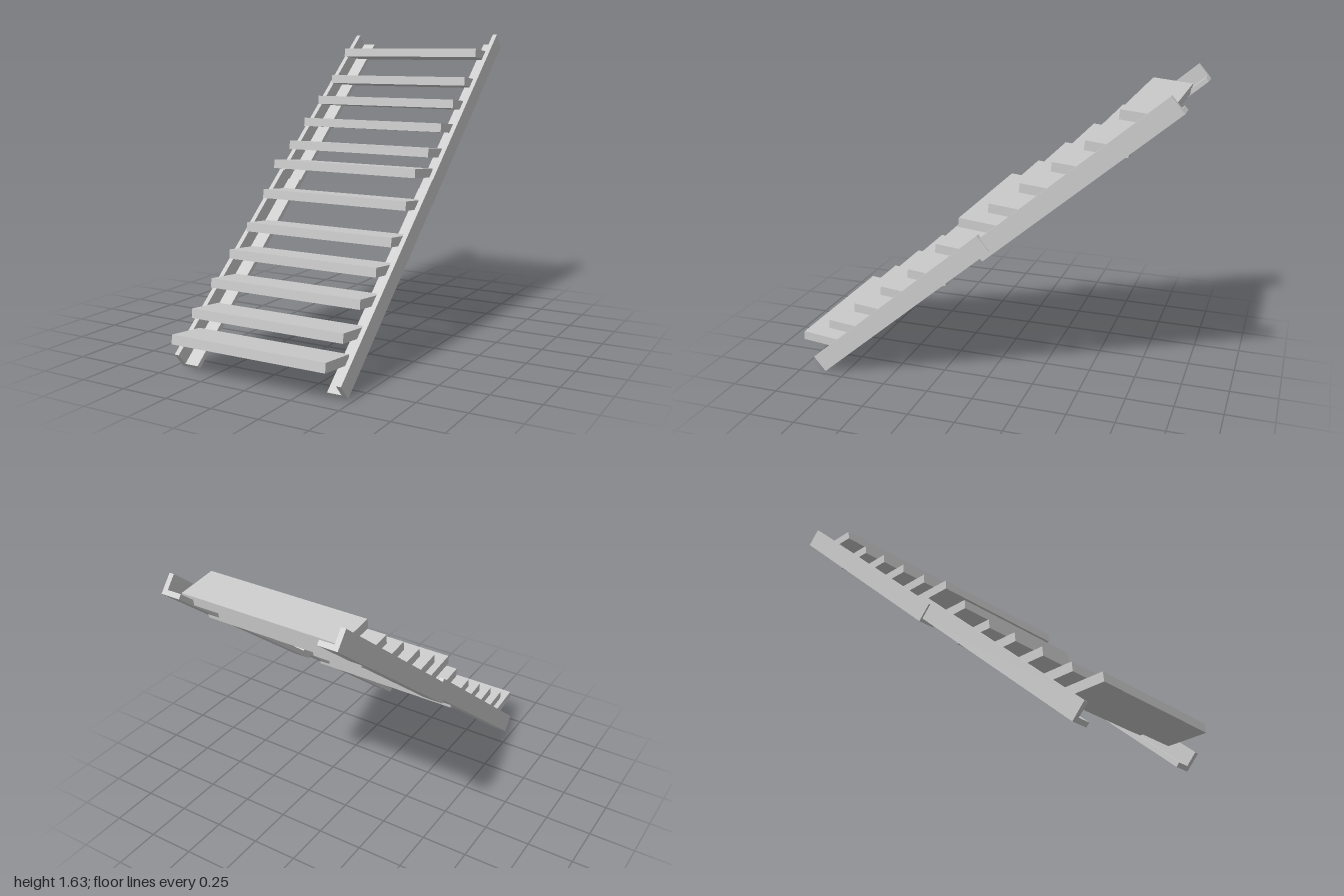
import * as THREE from 'three';

const material = new THREE.MeshStandardMaterial({ color: 0xcccccc, flatShading: true });

const PITCH = Math.atan2(0.804, 0.947); // slope of the flight
const RAIL_LENGTH = 1.2425;
const HALF_WIDTH = 0.4655;
const LEG = 0.1;     // both legs of the angle profile
const PLATE = 0.025; // thickness of the angle profile
const TREAD_TILT = 0.1;
const TREAD_STEP = 0.157;
const TREAD_HEIGHTS = [0.202, 0.292, 0.41, 0.528, 0.644, 0.8];

// L-shaped side rail: upright outer plate with a flange turned inward at the bottom
function createRail(side) {
  const outline = [
    [0, 0], [LEG, 0], [LEG, PLATE], [PLATE, PLATE], [PLATE, LEG], [0, LEG],
  ].map(([inward, y]) => new THREE.Vector2(side * (HALF_WIDTH - inward), y));
  const geometry = new THREE.ExtrudeGeometry(new THREE.Shape(outline), {
    depth: RAIL_LENGTH, bevelEnabled: false,
  });
  geometry.translate(0, 0, -RAIL_LENGTH);
  const rail = new THREE.Mesh(geometry, material);
  rail.name = side > 0 ? 'leftRail' : 'rightRail';
  rail.position.z = 0.861;
  rail.rotation.x = PITCH;
  return rail;
}

// Half of the stair: two rails and six treads sloping down toward the back
function createFlight(name) {
  const flight = new THREE.Group();
  flight.name = name;
  for (const side of [-1, 1]) flight.add(createRail(side));

  // origin of the tread is its top front edge
  const treadGeometry = new THREE.BoxGeometry(0.85, 0.047, 0.21);
  treadGeometry.translate(0, -0.0235, -0.105);
  TREAD_HEIGHTS.forEach((y, i) => {
    const tread = new THREE.Mesh(treadGeometry, material);
    tread.name = `tread${i + 1}`;
    tread.position.set(0.004, y, 0.995 - i * TREAD_STEP);
    tread.rotation.x = -TREAD_TILT;
    flight.add(tread);
  });
  return flight;
}

export function createModel() {
  const model = new THREE.Group();
  model.name = 'stairs';

  const lower = createFlight('lowerFlight');
  lower.position.x = 0.0025;

  // the upper flight overlaps the lower one and sits slightly to the side
  const upper = createFlight('upperFlight');
  upper.position.set(-0.0065, 0.746, -0.908);

  model.add(lower, upper);
  return model;
}
